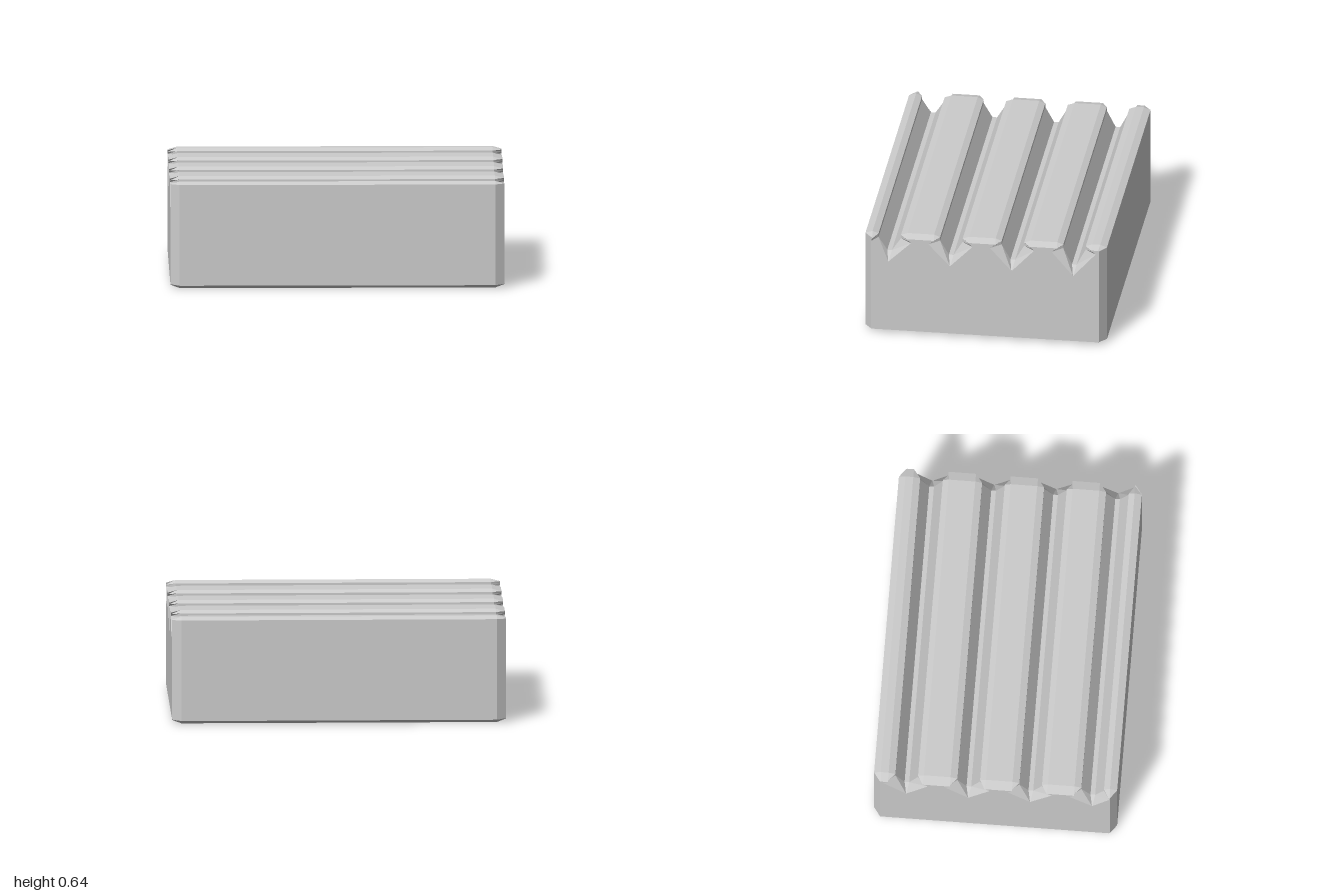
import * as THREE from 'three';

// Cross-sections as [z, y]: the full section of the body and the inset one at its ends.
function makeSections() {
  const full = [[0.69, 0], [0.73, 0.02], [0.73, 0.63]];
  const end = [[0.685, 0.02], [0.69, 0.023], [0.69, 0.63]];
  for (let i = 0; i < 4; i++) {
    const c = 0.584 - i * 0.3723; // groove centre
    const d = -0.007 * i; // each groove is a little deeper
    full.push(
      [c + 0.103, 0.645], [c + 0.067, 0.63], [c + 0.067, 0.608], [c + 0.014, 0.525 + d],
      [c - 0.014, 0.525 + d], [c - 0.069, 0.608], [c - 0.069, 0.63], [c - 0.11, 0.645]);
    const lip = i === 0 ? 0.103 : 0.13; // the front lip is too thin for the whole chamfer
    end.push(
      [c + 0.098, 0.63], [c + (0.098 + lip) / 2, 0.618], [c + lip, 0.605], [c + 0.001, 0.475 + d],
      [c - 0.001, 0.475 + d], [c - 0.136, 0.605], [c - 0.123, 0.618], [c - 0.11, 0.63]);
  }
  // flat top of the rear lip, then down the back
  full.push([-0.69, 0.645], [-0.73, 0.63], [-0.73, 0.02], [-0.69, 0]);
  end.push([-0.685, 0.63], [-0.69, 0.627], [-0.69, 0.023], [-0.685, 0.02]);
  return { full, end };
}

// Skin matching sections along x and close both ends.
function loft(rings) {
  const pos = [];
  const n = rings[0].points.length;
  const put = (r, i) => {
    const [z, y] = rings[r].points[i % n];
    pos.push(rings[r].x, y, z);
  };
  for (let r = 0; r < rings.length - 1; r++) {
    for (let i = 0; i < n; i++) {
      put(r, i); put(r + 1, i); put(r + 1, i + 1);
      put(r, i); put(r + 1, i + 1); put(r, i + 1);
    }
  }
  const contour = rings[0].points.map(([z, y]) => new THREE.Vector2(z, y));
  const last = rings.length - 1;
  for (const [a, b, c] of THREE.ShapeUtils.triangulateShape(contour, [])) {
    put(0, a); put(0, b); put(0, c);
    put(last, a); put(last, c); put(last, b);
  }
  const geometry = new THREE.BufferGeometry();
  geometry.setAttribute('position', new THREE.Float32BufferAttribute(pos, 3));
  geometry.computeVertexNormals();
  return geometry;
}

export function createModel() {
  const group = new THREE.Group();
  group.name = 'groovedBlock';
  const { full, end } = makeSections();
  const body = new THREE.Mesh(
    loft([
      { x: -1, points: end },
      { x: -0.945, points: full },
      { x: 0.945, points: full },
      { x: 1, points: end },
    ]),
    new THREE.MeshStandardMaterial({ color: 0xcccccc, flatShading: true }));
  body.name = 'groovedBody';
  group.add(body);
  return group;
}
